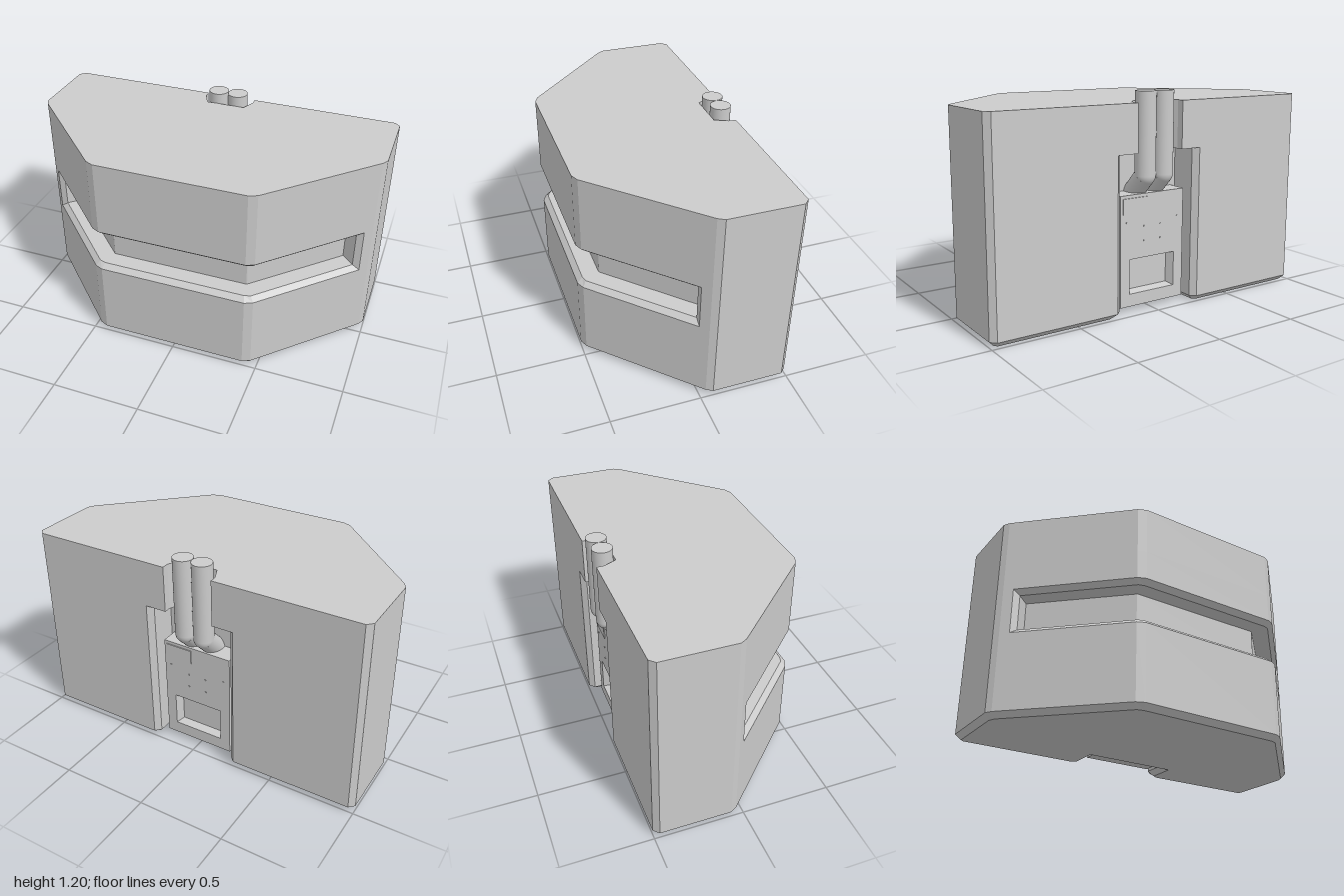
import * as THREE from 'three';

const flat = new THREE.MeshStandardMaterial({ color: 0xcccccc, flatShading: true, side: THREE.DoubleSide });
const smooth = new THREE.MeshStandardMaterial({ color: 0xcccccc });

function add(parent, name, geometry, material, x = 0, y = 0, z = 0) {
  const mesh = new THREE.Mesh(geometry, material);
  mesh.name = name;
  mesh.position.set(x, y, z);
  parent.add(mesh);
  return mesh;
}

// Joins horizontal outlines of equal point count, then caps both ends.
function loft(rings) {
  const pos = [];
  const put = (...pts) => pts.forEach(p => pos.push(p[0], p[1], p[2]));
  const levels = rings.map(([y, pts]) => pts.map(([x, z]) => [x, y, z]));
  for (let k = 0; k + 1 < levels.length; k++) {
    const a = levels[k], b = levels[k + 1];
    for (let i = 0; i < a.length; i++) {
      const j = (i + 1) % a.length;
      put(a[i], b[i], b[j], a[i], b[j], a[j]);
    }
  }
  const cap = (ring, up) => {
    const contour = ring.map(p => new THREE.Vector2(p[0], p[2]));
    for (const [i, j, k] of THREE.ShapeUtils.triangulateShape(contour, [])) {
      const cross = (contour[j].x - contour[i].x) * (contour[k].y - contour[i].y)
        - (contour[j].y - contour[i].y) * (contour[k].x - contour[i].x);
      if ((cross < 0) === up) put(ring[i], ring[j], ring[k]);
      else put(ring[i], ring[k], ring[j]);
    }
  };
  cap(levels[0], false);
  cap(levels[levels.length - 1], true);
  const geo = new THREE.BufferGeometry();
  geo.setAttribute('position', new THREE.Float32BufferAttribute(pos, 3));
  geo.computeVertexNormals();
  return geo;
}

function bodyGeometry() {
  // Half outlines as [x, z], running from the back notch round to the front
  const side = [[0.97, -0.5], [1, -0.47], [1, -0.07], [0.98, -0.035]];
  const sideInset = [[0.955, -0.47], [0.97, -0.455], [0.97, -0.085], [0.955, -0.05]];
  const wide = [[0.24, -0.32], [0.24, -0.47], [0.27, -0.5]];
  const wideFlared = [[0.27, -0.29], [0.27, -0.45], [0.3, -0.47]];
  const narrow = [[0.11, -0.385], [0.145, -0.46], [0.145, -0.5]];
  const A = [0.94, 0.005], B = [0.9, 0.005], C = [0.833, -0.06];
  const front = [A, A, A, [0.465, 0.48], [0.42, 0.5]];
  const frontInset = [[0.91, -0.005], [0.91, -0.005], [0.91, -0.005], [0.445, 0.46], [0.41, 0.47]];
  const slotBevel = [A, B, B, [0.445, 0.46], [0.41, 0.47]];
  const slotWall = [A, B, C, [0.397, 0.373], [0.393, 0.375]];
  const full = (...parts) => {
    const half = parts.flat();
    return [...half, ...half.map(([x, z]) => [-x, z]).reverse()];
  };
  return loft([
    [0, full(wideFlared, sideInset, frontInset)],
    [0.03, full(wide, side, front)],
    [0.46, full(wide, side, front)],
    [0.487, full(wide, side, slotBevel)],
    [0.487, full(wide, side, slotWall)],
    [0.69, full(wide, side, slotWall)],
    [0.69, full(wide, side, slotBevel)],
    [0.717, full(wide, side, front)],
    [0.88, full(wide, side, front)],
    [0.88, full(narrow, side, front)],
    [1.143, full(narrow, side, front)],
  ]);
}

function rectangle(PathType, x0, y0, x1, y1) {
  return new PathType([[x0, y0], [x1, y0], [x1, y1], [x0, y1]].map(p => new THREE.Vector2(...p)));
}

export function createModel() {
  const model = new THREE.Group();
  add(model, 'body', bodyGeometry(), flat);

  // Service panel standing in the rear channel
  const panel = new THREE.Group();
  panel.name = 'rearPanel';
  model.add(panel);
  const face = rectangle(THREE.Shape, -0.21, 0.03, 0.21, 0.65);
  face.holes.push(rectangle(THREE.Path, -0.15, 0.1, 0.15, 0.295));
  add(panel, 'panelFace', new THREE.ExtrudeGeometry(face, { depth: 0.045, bevelEnabled: false }), flat, 0, 0, -0.435);
  add(panel, 'panelBacking', new THREE.BoxGeometry(0.42, 0.62, 0.075), flat, 0, 0.34, -0.3525);

  // Sloping sides of the pocket
  const funnel = new THREE.CylinderGeometry(0.86 * Math.SQRT1_2, Math.SQRT1_2, 0.045, 4, 1, true);
  funnel.rotateY(Math.PI / 4);
  funnel.rotateX(Math.PI / 2);
  funnel.scale(0.3, 0.195, 1);
  add(panel, 'pocketSides', funnel, flat, 0, 0.1975, -0.4125);

  add(panel, 'smallPlate', new THREE.BoxGeometry(0.16, 0.085, 0.008), flat, 0.115, 0.59, -0.436);
  for (const [x, y] of [[0.17, 0.5], [-0.17, 0.5], [0.055, 0.47], [-0.055, 0.47], [0.055, 0.39], [-0.055, 0.39]]) {
    const stud = add(panel, 'stud', new THREE.CylinderGeometry(0.005, 0.005, 0.006, 8), smooth, x, y, -0.436);
    stud.rotation.x = Math.PI / 2;
  }

  // Twin pipes with an angled lower end running into the recess
  const r = 0.057, bendY = 0.75, pipeZ = -0.443;
  for (const s of [1, -1]) {
    const pipe = new THREE.Group();
    pipe.name = s > 0 ? 'leftPipe' : 'rightPipe';
    pipe.position.set(s * 0.058, bendY, pipeZ);
    model.add(pipe);
    add(pipe, 'riser', new THREE.CylinderGeometry(r, r, 1.2 - bendY, 32), smooth, 0, (1.2 - bendY) / 2, 0);
    add(pipe, 'elbow', new THREE.SphereGeometry(r, 32, 16), smooth);
    const lower = add(pipe, 'angledEnd', new THREE.CylinderGeometry(r, r, 0.16, 32), smooth, 0, -0.057, 0.057);
    lower.rotation.x = -Math.PI / 4;
  }
  return model;
}
